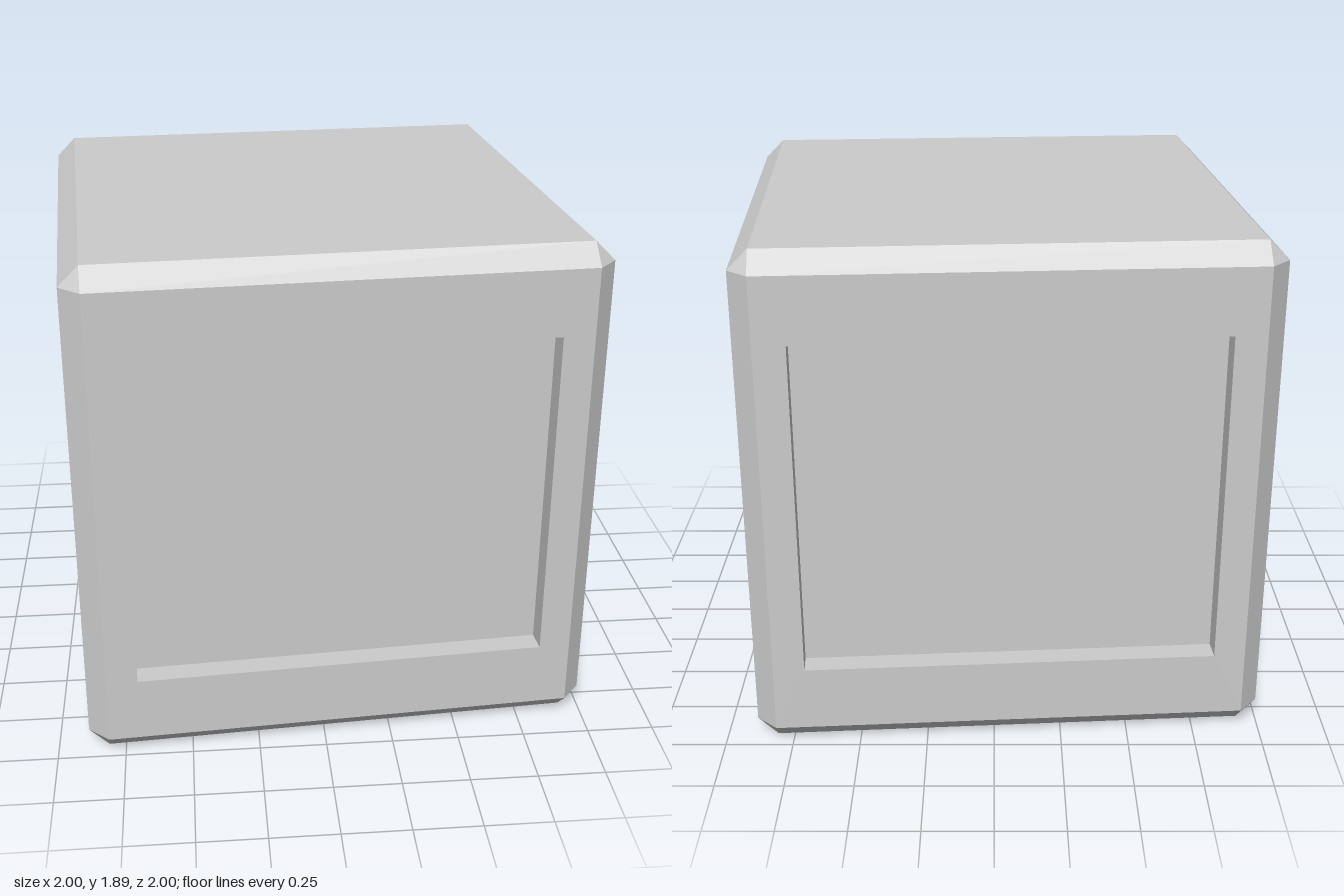
import * as THREE from 'three';

const H = 0.945;      // half size of the block
const C = 0.872;      // half size of each flat face inside the chamfers
const DEPTH = 0.085;  // depth of the side recesses
const SIGNS = [-1, 1];

// Flat-shaded mesh from a list of polygons (fans of corner points)
function polyMesh(name, polygons, material) {
  const pos = [];
  for (const p of polygons) {
    for (let i = 1; i < p.length - 1; i++) {
      for (const v of [p[0], p[i], p[i + 1]]) pos.push(...v);
    }
  }
  const geometry = new THREE.BufferGeometry();
  geometry.setAttribute('position', new THREE.Float32BufferAttribute(pos, 3));
  geometry.computeVertexNormals();
  const mesh = new THREE.Mesh(geometry, material);
  mesh.name = name;
  return mesh;
}

// Turns a polygon so that it faces away from the block's centre
function outward(p) {
  const [a, b, c] = p.map((v) => new THREE.Vector3(...v));
  const normal = b.clone().sub(a).cross(c.clone().sub(a));
  return normal.dot(a) < 0 ? p.slice().reverse() : p;
}

// Point whose coordinate on the given axis is u, on the next axis v, on the third w
function onAxes(axis, u, v, w) {
  const p = [0, 0, 0];
  p[axis] = u;
  p[(axis + 1) % 3] = v;
  p[(axis + 2) % 3] = w;
  return p;
}

const rect = (w, h, z) => [[-w, -h, z], [w, -h, z], [w, h, z], [-w, h, z]];

// Quads joining two rectangles corner by corner
const ring = (a, b) => a.map((p, i) => [p, a[(i + 1) % 4], b[(i + 1) % 4], b[i]]);

export function createModel() {
  const model = new THREE.Group();
  model.name = 'panelledBlock';
  const material = new THREE.MeshStandardMaterial({ color: 0xcccccc, flatShading: true });

  const block = new THREE.Group();
  block.name = 'block';
  block.position.y = H;
  block.rotation.y = THREE.MathUtils.degToRad(3.77);
  model.add(block);

  // Chamfered edges and corner facets
  const edges = [];
  const corners = [];
  for (const s of SIGNS) {
    for (const t of SIGNS) {
      for (let axis = 0; axis < 3; axis++) {
        edges.push(outward([
          onAxes(axis, -C, s * H, t * C), onAxes(axis, C, s * H, t * C),
          onAxes(axis, C, s * C, t * H), onAxes(axis, -C, s * C, t * H),
        ]));
      }
      for (const r of SIGNS) {
        corners.push(outward([
          [r * H, s * C, t * C], [r * C, s * H, t * C], [r * C, s * C, t * H],
        ]));
      }
    }
  }
  block.add(polyMesh('chamferedEdges', edges, material));
  block.add(polyMesh('cornerFacets', corners, material));

  // Plain top and bottom
  for (const s of SIGNS) {
    const face = [[-C, s * H, -C], [C, s * H, -C], [C, s * H, C], [-C, s * H, C]];
    block.add(polyMesh(s > 0 ? 'top' : 'bottom', [outward(face)], material));
  }

  // Four sides, each a frame around a sunken panel
  ['front', 'left', 'back', 'right'].forEach((name, i) => {
    const halfWidth = i % 2 ? 0.71 : 0.757;
    const halfHeight = 0.628;
    const outer = rect(C, C, H);
    const opening = rect(halfWidth, halfHeight, H);
    const floor = rect(halfWidth, halfHeight, H - DEPTH);
    const side = new THREE.Group();
    side.name = name + 'Side';
    side.rotation.y = i * Math.PI / 2;
    side.add(
      polyMesh('frame', ring(outer, opening), material),
      polyMesh('recessWalls', ring(opening, floor), material),
      polyMesh('sunkenPanel', [floor], material),
    );
    block.add(side);
  });

  return model;
}
